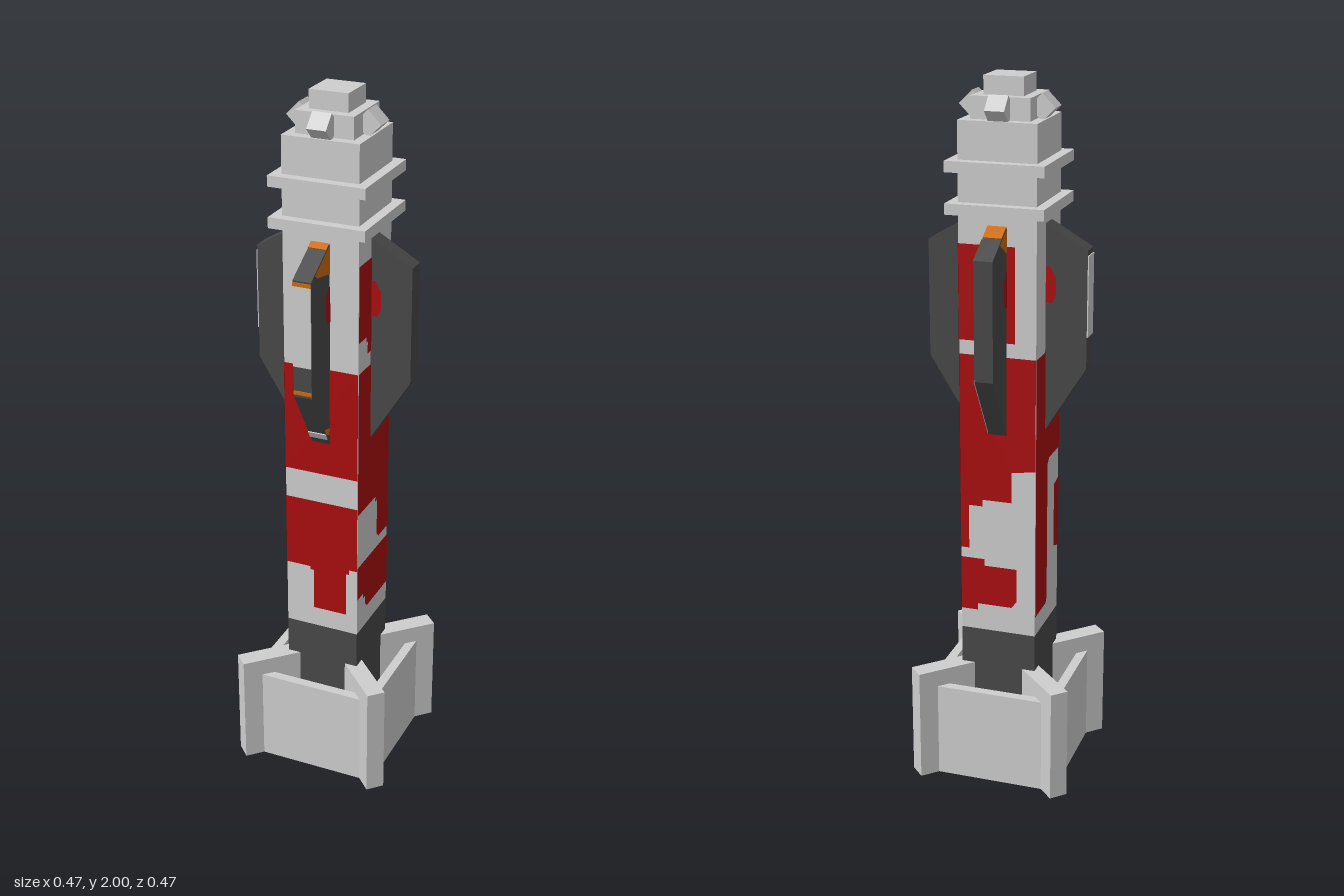
import * as THREE from 'three';

const mat = (name, color) => {
  const m = new THREE.MeshStandardMaterial({ color, side: THREE.DoubleSide });
  m.name = name;
  return m;
};
const LIGHT = mat('light grey', 0xcecece);
const DARK = mat('dark grey', 0x484848);
const RED = mat('red', 0xaa0e10);
const ORANGE = mat('orange', 0xcc6c0a);

function add(parent, name, geo, material, x = 0, y = 0, z = 0) {
  const m = new THREE.Mesh(geo, material);
  m.name = name;
  m.position.set(x, y, z);
  parent.add(m);
  return m;
}

// Box given by half width, bottom and top
function block(parent, name, half, y0, y1, material) {
  return add(parent, name, new THREE.BoxGeometry(half * 2, y1 - y0, half * 2), material, 0, (y0 + y1) / 2, 0);
}

const poly = pts => new THREE.Shape(pts.map(p => new THREE.Vector2(p[0], p[1])));

const BODY = 0.109;
const FIN_T = 0.052;

// Painted patches per side (u runs rightwards as seen from outside, v is height)
const B = BODY;
const paint = [
  // front
  [
    [[-B, 0.94], [B, 0.94], [B, 1.26], [-B, 1.26]],
    [[-B, 0.635], [-0.035, 0.635], [-0.035, 0.625], [-0.025, 0.625], [-0.025, 0.5], [0.075, 0.5],
      [0.075, 0.635], [0.085, 0.635], [0.085, 0.65], [B, 0.65], [B, 0.85], [-B, 0.85]],
  ],
  // +x side
  [
    [[-B, 1.35], [-0.06, 1.35], [-0.06, 1.335], [-0.05, 1.335], [-0.05, 1.3], [B, 1.3], [B, 1.565], [-B, 1.565]],
    [[-B, 0.83], [0.015, 0.83], [0.015, 0.815], [0.028, 0.815], [0.028, 0.705], [0.04, 0.69], [B, 0.69],
      [B, 1.26], [-B, 1.26]],
    [[-B, 0.555], [-0.07, 0.555], [-0.07, 0.54], [-0.055, 0.54], [-0.055, 0.515], [-0.04, 0.5], [B, 0.5],
      [B, 0.66], [-B, 0.66]],
  ],
  // back
  [
    [[-B, 1.3], [0.05, 1.3], [0.05, 1.565], [-B, 1.565]],
    [[-B, 0.69], [-0.085, 0.69], [-0.085, 0.82], [-0.045, 0.82], [-0.045, 0.84], [0.04, 0.84], [0.04, 0.93],
      [B, 0.94], [B, 1.26], [-B, 1.26]],
    [[-B, 0.5], [-0.06, 0.5], [-0.06, 0.52], [0.04, 0.52], [0.055, 0.54], [0.055, 0.64], [-0.04, 0.64],
      [-0.04, 0.66], [-B, 0.66]],
  ],
  // -x side
  [
    [[-B, 0.5], [-0.01, 0.5], [0, 0.515], [0, 0.925], [0.015, 0.94], [B, 0.94], [B, 1.26], [-B, 1.26]],
    [[0.065, 0.65], [B, 0.635], [B, 0.85], [0.065, 0.84]],
  ],
];

// Side fin profile: distance from axis, height
const finProfile = [[0.1, 1.622], [0.225, 1.55], [0.225, 1.222], [0.1, 1.02]];

// Thin cover along one edge of the fin profile
function strip(fin, p, q, material) {
  const len = Math.hypot(q[0] - p[0], q[1] - p[1]);
  const n = [-(q[1] - p[1]) / len * 0.003, (q[0] - p[0]) / len * 0.003];
  const geo = new THREE.ExtrudeGeometry(
    poly([p, q, [q[0] + n[0], q[1] + n[1]], [p[0] + n[0], p[1] + n[1]]]),
    { depth: FIN_T, bevelEnabled: false });
  add(fin, 'finEdgePaint', geo, material, 0, 0, -FIN_T / 2);
}

// Painted patch on one flat of the fin
function flatPaint(fin, pts, side, material) {
  add(fin, 'finPaint', new THREE.ShapeGeometry(poly(pts)), material, 0, 0, side * (FIN_T / 2 + 0.002));
}

function makeFin(i) {
  const fin = new THREE.Group();
  fin.name = 'sideFin';
  fin.rotation.y = -Math.PI / 2;
  add(fin, 'finPanel', new THREE.ExtrudeGeometry(poly(finProfile), { depth: FIN_T, bevelEnabled: false }),
    DARK, 0, 0, -FIN_T / 2);
  for (const s of [-1, 1])
    flatPaint(fin, [[0.11, 1.4], [0.128, 1.4], [0.138, 1.42], [0.138, 1.47], [0.122, 1.5], [0.11, 1.5]], s, RED);
  if (i === 0 || i === 3) { // light outer cover
    strip(fin, [0.225, 1.535], [0.225, 1.31], LIGHT);
  }
  if (i === 0) {
    strip(fin, [0.11, 1.616], [0.13, 1.605], ORANGE);
    strip(fin, [0.225, 1.545], [0.225, 1.535], ORANGE);
    strip(fin, [0.225, 1.24], [0.225, 1.23], ORANGE);
    strip(fin, [0.137, 1.08], [0.125, 1.06], LIGHT);
    flatPaint(fin, [[0.11, 1.616], [0.205, 1.561], [0.19, 1.55], [0.11, 1.535]], -1, ORANGE);
    flatPaint(fin, [[0.112, 1.09], [0.148, 1.098], [0.135, 1.077], [0.118, 1.07]], -1, ORANGE);
  }
  if (i === 2) {
    strip(fin, [0.11, 1.616], [0.15, 1.593], ORANGE);
    flatPaint(fin, [[0.15, 1.593], [0.225, 1.55], [0.19, 1.48], [0.155, 1.51]], 1, ORANGE);
    flatPaint(fin, [[0.225, 1.222], [0.18, 1.25], [0.11, 1.12], [0.11, 1.036]], 1, LIGHT);
    flatPaint(fin, [[0.11, 1.616], [0.17, 1.581], [0.11, 1.545]], -1, ORANGE);
  }
  return fin;
}

export function createModel() {
  const model = new THREE.Group();
  model.name = 'rocket';

  // Stacked body
  block(model, 'engineSection', BODY, 0.02, 0.44, DARK);
  block(model, 'body', BODY, 0.44, 1.89, LIGHT);
  block(model, 'lowerRing', 0.137, 1.645, 1.675, LIGHT);
  block(model, 'upperRing', 0.137, 1.757, 1.787, LIGHT);
  block(model, 'noseBase', 0.082, 1.89, 1.95, LIGHT);
  block(model, 'noseCap', 0.055, 1.95, 2.0, LIGHT);

  for (let i = 0; i < 4; i++) {
    const side = new THREE.Group();
    side.name = 'side' + (i + 1);
    side.rotation.y = i * Math.PI / 2;
    model.add(side);

    // Body paint
    for (const pts of paint[i])
      add(side, 'bodyPaint', new THREE.ShapeGeometry(poly(pts)), RED, 0, 0, BODY + 0.0015);

    side.add(makeFin(i));

    // Tilted nozzle block under the cap
    add(side, 'noseThruster', new THREE.BoxGeometry(0.054, 0.052, 0.052), LIGHT, 0, 1.92, 0.096)
      .rotation.x = Math.PI / 4;

    // Base skirt panel
    add(side, 'skirtPanel', new THREE.BoxGeometry(0.316, 0.28, 0.027), LIGHT, 0, 0.14, 0.1795);
    if (i === 1)
      add(side, 'skirtPaint', new THREE.PlaneGeometry(0.042, 0.16), RED, -0.134, 0.198, 0.1945);

    // Diagonal base leg
    const leg = new THREE.Group();
    leg.name = 'baseLeg';
    leg.rotation.y = Math.PI / 4;
    add(leg, 'legPlate', new THREE.BoxGeometry(0.053, 0.33, 0.203), LIGHT, 0, 0.165, 0.202);
    side.add(leg);
  }
  return model;
}
